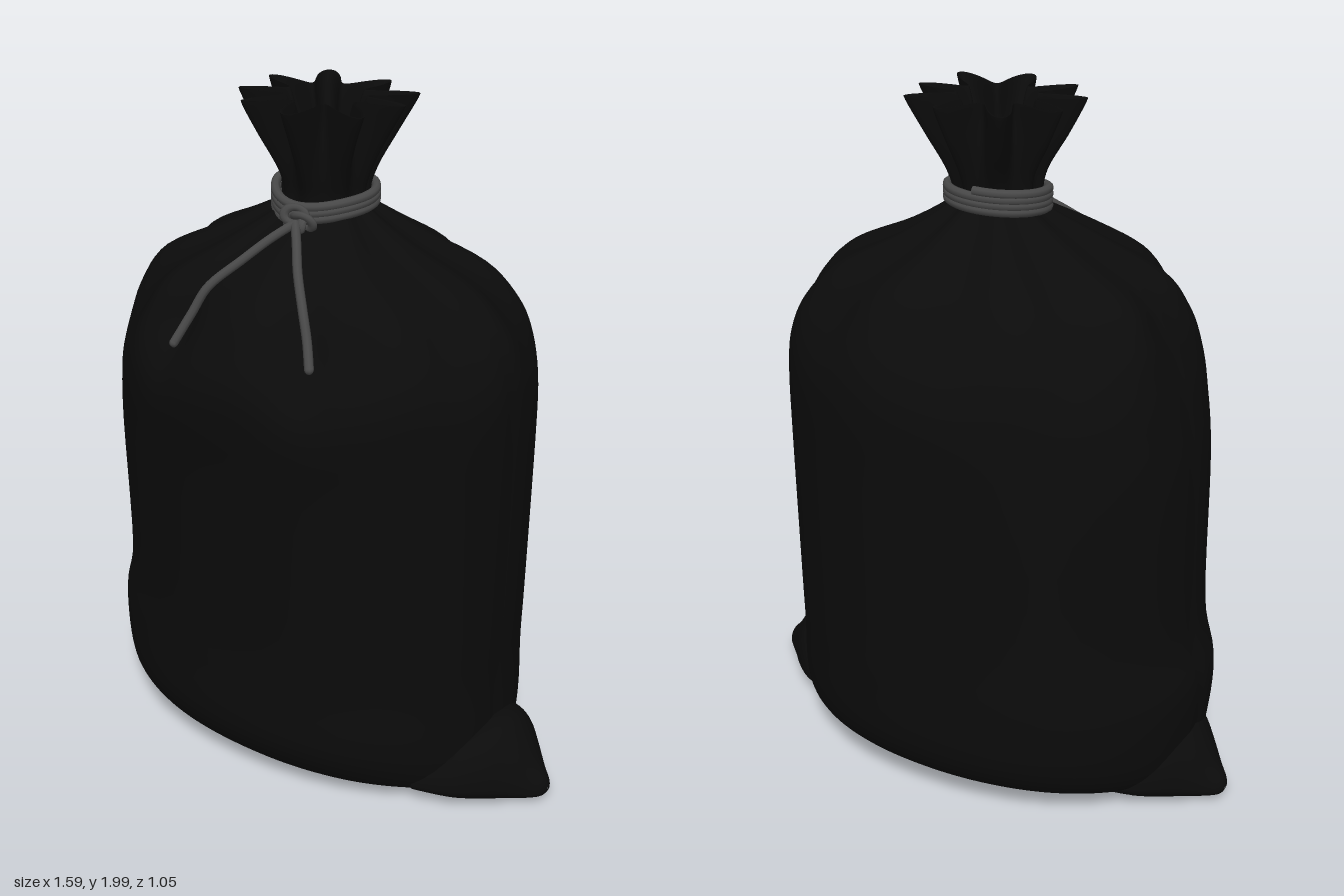
import * as THREE from 'three';

const cloth = new THREE.MeshStandardMaterial({ color: 0x0b0b0b });
const cord = new THREE.MeshStandardMaterial({ color: 0x484848 });

// Sack rings from the base up to the mouth and down inside: y, left x, right x, front z, back z
const rings = [
  [0.02, -0.002, 0.002, 0.002, -0.002],
  [0.02, -0.56, 0.56, 0.22, -0.22],
  [0.05, -0.63, 0.6, 0.33, -0.34],
  [0.1, -0.66, 0.61, 0.395, -0.45],
  [0.2, -0.68, 0.61, 0.44, -0.51],
  [0.37, -0.69, 0.605, 0.44, -0.52],
  [0.55, -0.65, 0.61, 0.445, -0.52],
  [1.0, -0.635, 0.62, 0.49, -0.52],
  [1.2, -0.605, 0.62, 0.522, -0.52],
  [1.32, -0.58, 0.61, 0.525, -0.505],
  [1.42, -0.55, 0.57, 0.485, -0.465],
  [1.52, -0.48, 0.47, 0.415, -0.395],
  [1.61, -0.3, 0.28, 0.285, -0.26],
  [1.69, -0.15, 0.15, 0.135, -0.14],
  [1.73, -0.13, 0.125, 0.11, -0.115],
  [1.8, -0.14, 0.145, 0.135, -0.135],
  [1.9, -0.2, 0.2, 0.19, -0.19],
  [2.0, -0.25, 0.26, 0.24, -0.23],
  [1.97, -0.215, 0.22, 0.2, -0.19],
  [1.85, -0.1, 0.1, 0.1, -0.1],
  [1.79, -0.002, 0.002, 0.002, -0.002],
];

// Smooth interpolation between rows of a table
function sample(table, u) {
  const last = table.length - 1;
  const i = Math.min(Math.floor(u), last - 1), t = u - i;
  const row = k => table[Math.max(0, Math.min(last, k))];
  return table[i].map((b, k) => {
    const a = row(i - 1)[k], c = row(i + 1)[k], d = row(i + 2)[k];
    return b + 0.5 * t * (c - a + t * (2 * a - 5 * b + 4 * c - d + t * (3 * (b - c) + d - a)));
  });
}

// Skin over closed loops: fn(u, angle) gives a point
function loft(fn, rows, uMax, sides, flip) {
  const pos = [], index = [];
  for (let i = 0; i <= rows; i++)
    for (let j = 0; j < sides; j++) pos.push(...fn(uMax * i / rows, 2 * Math.PI * j / sides).toArray());
  for (let i = 0; i < rows; i++)
    for (let j = 0; j < sides; j++) {
      const k = (j + 1) % sides;
      const a = i * sides + j, b = i * sides + k, c = a + sides, d = b + sides;
      if (flip) index.push(a, b, c, b, d, c);
      else index.push(a, c, b, b, c, d);
    }
  const g = new THREE.BufferGeometry();
  g.setAttribute('position', new THREE.Float32BufferAttribute(pos, 3));
  g.setIndex(index);
  g.computeVertexNormals();
  return g;
}

const bell = (x, w) => Math.exp(-((x / w) ** 2));

// Point on the sack: oval section, gathered pleats, side seams, dents below the tie
function sackPoint(u, angle) {
  const [y, xl, xr, zf, zb] = sample(rings, u);
  const c = Math.cos(angle), s = Math.sin(angle);
  const depth = 0.13 * THREE.MathUtils.smoothstep(y, 1.2, 1.68) + 0.4 * THREE.MathUtils.smoothstep(y, 1.72, 2);
  const wave = 0.5 + 0.5 * Math.cos(9 * angle + 0.8 * Math.sin(2 * angle + 1));
  const uneven = 0.06 * (0.5 + 0.5 * Math.sin(5 * angle + 2)) * Math.min(1, depth * 3);
  let k = (1 - depth * (1 - wave ** 1.3)) * (1 - uneven);
  if (y < 1.6 && y > 0.1) k *= 1 - 0.008 * bell(s, 0.035);
  k *= 1 - 0.1 * (bell(angle - 1.15, 0.14) + bell(angle - 1.95, 0.14)) * bell(y - 1.42, 0.13);
  const e = 0.94;
  return new THREE.Vector3(
    (c > 0 ? xr : -xl) * Math.sign(c) * Math.abs(c) ** e * k,
    Math.min(y, 2),
    (s > 0 ? zf : -zb) * Math.sign(s) * Math.abs(s) ** e * k);
}

// Point on the sack's outside at a given height
function sackAt(y, angle) {
  let lo = 2, hi = 14;
  for (let i = 0; i < 30; i++) {
    const mid = (lo + hi) / 2;
    if (sample(rings, mid)[0] < y) lo = mid; else hi = mid;
  }
  return sackPoint(lo, angle);
}

// Bottom corner sections: x, half width, top y, bottom y
const corner = [
  [0.48, 0.25, 0.2, 0.025],
  [0.58, 0.215, 0.235, 0.012],
  [0.65, 0.165, 0.238, 0.01],
  [0.7, 0.115, 0.195, 0.015],
  [0.75, 0.065, 0.125, 0.022],
  [0.785, 0.03, 0.085, 0.034],
  [0.795, 0.002, 0.06, 0.055],
];

function cornerPoint(side, u, angle) {
  const [x, w, top, bottom] = sample(corner, u);
  const mid = bottom + (top - bottom) * 0.3, s = Math.sin(angle);
  const tilt = side < 0 ? -0.03 * u / (corner.length - 1) : 0;
  return new THREE.Vector3(side * x, mid + (s > 0 ? top - mid : mid - bottom) * s, w * Math.cos(angle) + tilt);
}

export function createModel() {
  const model = new THREE.Group();
  const add = (name, geometry, material) => {
    const mesh = new THREE.Mesh(geometry, material);
    mesh.name = name;
    model.add(mesh);
    return mesh;
  };
  const rope = (name, points, segments) =>
    add(name, new THREE.TubeGeometry(new THREE.CatmullRomCurve3(points), segments, 0.013, 8), cord);

  // Cloth body with gathered mouth
  add('sackBody', loft(sackPoint, (rings.length - 1) * 5, rings.length - 1, 180, false), cloth);

  // Pulled-out bottom corners
  for (const side of [1, -1])
    add(side > 0 ? 'leftCorner' : 'rightCorner',
      loft((u, a) => cornerPoint(side, u, a), 24, corner.length - 1, 40, side < 0), cloth);

  // Cord wound around the neck, dipping to the knot at the front
  const coil = [];
  for (let i = 0; i <= 112; i++) {
    const a = Math.PI / 2 + i / 32 * 2 * Math.PI, dip = Math.max(0, Math.sin(a)) ** 3;
    coil.push(new THREE.Vector3(0.143 * Math.cos(a), 1.695 + 0.06 * i / 112 - 0.015 * dip - 0.01 * Math.sin(a),
      0.128 * Math.sin(a) + 0.012 * dip));
  }
  rope('neckCord', coil, 260);

  // Knot
  const knot = add('knot', new THREE.TorusKnotGeometry(0.03, 0.013, 80, 8, 2, 3), cord);
  knot.position.set(0.02, 1.69, 0.16);
  knot.scale.set(1.1, 0.8, 0.7);

  // Loose cord ends lying on the cloth: height and angle around the sack
  const tails = {
    leftTail: [[1.64, 1.32], [1.59, 1.23], [1.52, 1.18], [1.45, 1.15], [1.39, 1.13]],
    rightTail: [[1.64, 1.66], [1.59, 1.78], [1.52, 1.87], [1.45, 1.91], [1.37, 1.94]],
  };
  for (const [name, path] of Object.entries(tails)) {
    const points = [new THREE.Vector3(0.02, 1.685, 0.17)];
    for (const [y, angle] of path) {
      const p = sackAt(y, angle);
      points.push(p.add(new THREE.Vector3(p.x, 0.15, p.z).normalize().multiplyScalar(0.013)));
    }
    rope(name, points, 40);
    // Rounded end
    add(name + 'End', new THREE.SphereGeometry(0.013, 8, 6), cord).position.copy(points[points.length - 1]);
  }
  return model;
}
